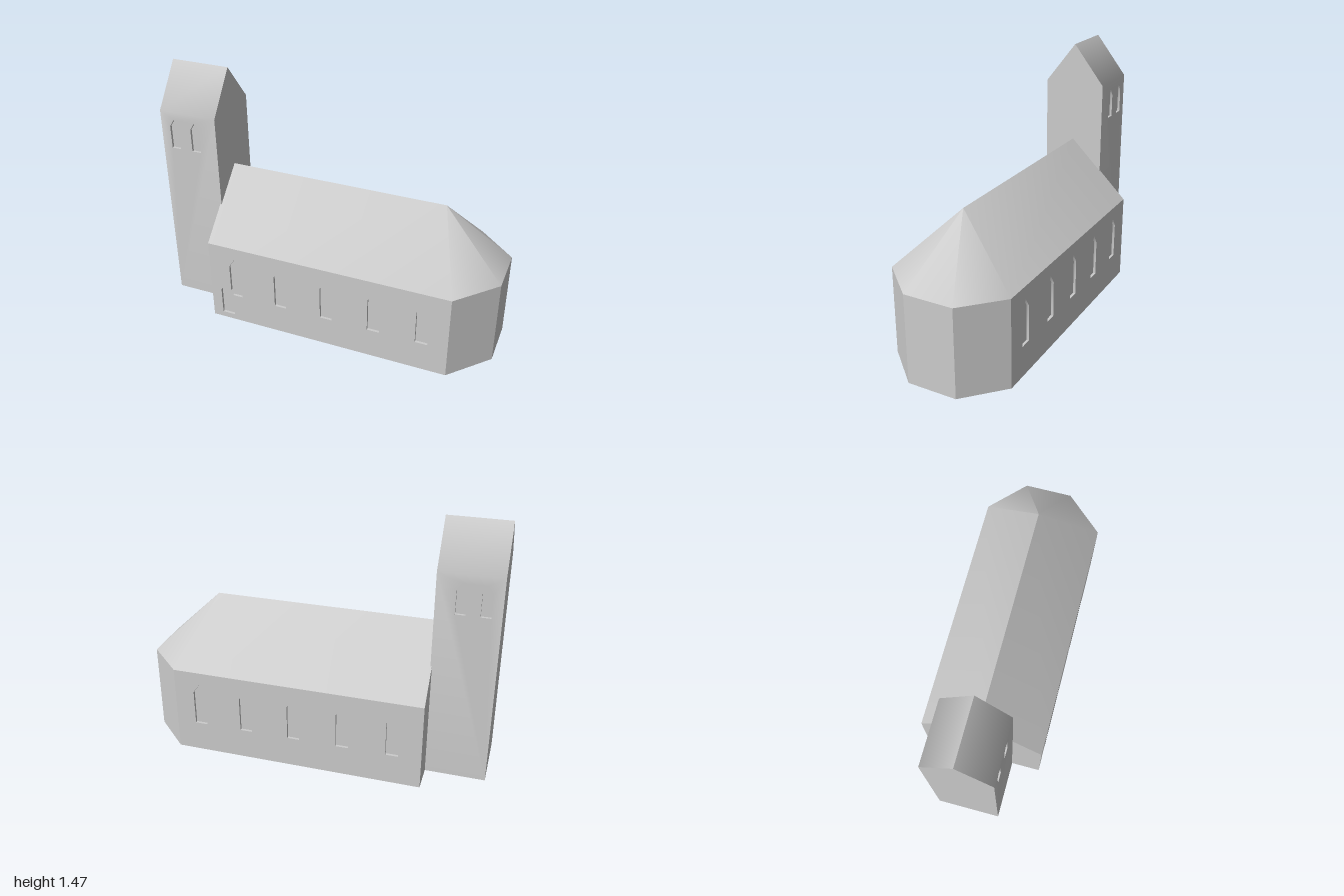
import * as THREE from 'three';
import { mergeGeometries, toCreasedNormals } from 'three/addons/utils/BufferGeometryUtils.js';

const RECESS = 0.015;
const CREASE = THREE.MathUtils.degToRad(41);

// Flat convex polygon, wound so that it faces away from the given inner point
function face(points, inner) {
  const p = points.map((c) => new THREE.Vector3(...c));
  const n = p[1].clone().sub(p[0]).cross(p[2].clone().sub(p[0]));
  if (n.dot(p[0].clone().sub(new THREE.Vector3(...inner))) < 0) p.reverse();
  const tris = [];
  for (let i = 1; i < p.length - 1; i++) tris.push(p[0], p[i], p[i + 1]);
  return new THREE.BufferGeometry().setFromPoints(tris);
}

// Pointed opening, counter-clockwise
const lancet = (x, w, y0, shoulder, tip) => [
  [x - w / 2, y0], [x + w / 2, y0], [x + w / 2, shoulder], [x, tip], [x - w / 2, shoulder],
];

const vecs = (pts) => pts.map(([x, y]) => new THREE.Vector2(x, y));

// Rectangular wall with recessed openings, at z facing +z (side 1) or -z (side -1)
function wall(x0, x1, height, z, side, openings) {
  const outline = new THREE.Shape(vecs([[x0, 0], [x1, 0], [x1, height], [x0, height]]));
  outline.holes = openings.map((o) => new THREE.Path(vecs(o)));
  const parts = [new THREE.ShapeGeometry(outline).toNonIndexed()];
  for (const o of openings) {
    // sunken pane and its reveals
    parts.push(new THREE.ShapeGeometry(new THREE.Shape(vecs(o))).toNonIndexed().translate(0, 0, -RECESS));
    const mid = [o.reduce((s, p) => s + p[0], 0) / o.length, 0, 0];
    o.forEach(([ax, ay], i) => {
      const [bx, by] = o[(i + 1) % o.length];
      const q = [[ax, ay, 0], [bx, by, 0], [bx, by, -RECESS], [ax, ay, -RECESS]];
      const v = [0, 1, 2, 0, 2, 3].map((k) => new THREE.Vector3(...q[k]));
      parts.push(new THREE.BufferGeometry().setFromPoints(v));
    });
  }
  const geo = mergePositions(parts);
  if (side < 0) {
    // mirror, then restore the winding
    const a = geo.attributes.position;
    const v = [];
    for (let i = 0; i < a.count; i += 3) {
      for (const k of [0, 2, 1]) v.push(new THREE.Vector3(a.getX(i + k), a.getY(i + k), -a.getZ(i + k)));
    }
    return new THREE.BufferGeometry().setFromPoints(v).translate(0, 0, z);
  }
  return geo.translate(0, 0, z);
}

function mergePositions(parts) {
  return mergeGeometries(parts.map((g) => {
    const bare = new THREE.BufferGeometry();
    bare.setAttribute('position', g.attributes.position);
    return bare;
  }));
}

export function createModel() {
  const group = new THREE.Group();
  const stone = new THREE.MeshStandardMaterial({ color: 0xcccccc });
  stone.name = 'pale grey stone';
  const add = (name, parts) => {
    const mesh = new THREE.Mesh(toCreasedNormals(mergePositions(parts), CREASE), stone);
    mesh.name = name;
    group.add(mesh);
  };

  // Nave plan: long walls, then a three-sided apse at +x
  const W = -0.66, E = 0.79, Z = 0.357, EAVE = 0.515, RIDGE = 0.865;
  const plan = [[W, Z], [E, Z], [1, 0.13], [1, -0.157], [E, -Z], [W, -Z]];
  const inner = [0.2, 0.4, 0];
  const at = (i, y) => [plan[i][0], y, plan[i][1]];

  const windowXs = [-0.495, -0.21, 0.075, 0.36, 0.64];
  const naveWindows = windowXs.map((x) => lancet(x, 0.072, 0.18, 0.385, 0.44));
  // door that runs into the first front window
  const doorAndWindow = [
    [-0.598, 0.035], [-0.52, 0.035], [-0.52, 0.18], [-0.459, 0.18], [-0.459, 0.385],
    [-0.495, 0.44], [-0.531, 0.385], [-0.531, 0.213], [-0.559, 0.248], [-0.598, 0.2],
  ];
  const naveParts = [
    wall(W, E, EAVE, Z, 1, [doorAndWindow, ...naveWindows.slice(1)]),
    wall(W, E, EAVE, -Z, -1, naveWindows),
    face(plan.map((_, i) => at(i, 0)), inner),
    face([at(5, 0), at(0, 0), at(0, EAVE), [W, RIDGE, 0], at(5, EAVE)], inner),
  ];
  for (let i = 1; i < 4; i++) {
    naveParts.push(face([at(i, 0), at(i + 1, 0), at(i + 1, EAVE), at(i, EAVE)], inner));
  }
  add('naveWalls', naveParts);

  // Nave roof: two slopes and a hipped end over the apse
  const westTop = [W, RIDGE, 0], eastTop = [0.64, RIDGE, 0];
  const roofParts = [
    face([at(0, EAVE), at(1, EAVE), eastTop, westTop], inner),
    face([at(5, EAVE), at(4, EAVE), eastTop, westTop], inner),
  ];
  for (let i = 1; i < 4; i++) roofParts.push(face([at(i, EAVE), at(i + 1, EAVE), eastTop], inner));
  add('naveRoof', roofParts);

  // Tower with a saddle roof and paired belfry openings
  const x0 = -1, x1 = -0.652, zf = 0.185, zb = -0.19, top = 1.225, peak = 1.465;
  const core = [-0.83, 0.7, 0];
  const belfry = [-0.917, -0.786].map((x) => lancet(x, 0.055, 1.0, 1.135, 1.178));
  const towerParts = [
    wall(x0, x1, top, zf, 1, belfry),
    wall(x0, x1, top, zb, -1, belfry),
    face([[x0, 0, zf], [x1, 0, zf], [x1, 0, zb], [x0, 0, zb]], core),
  ];
  for (const x of [x0, x1]) {
    towerParts.push(face([[x, 0, zf], [x, top, zf], [x, peak, 0], [x, top, zb], [x, 0, zb]], core));
  }
  for (const z of [zf, zb]) {
    towerParts.push(face([[x0, top, z], [x1, top, z], [x1, peak, 0], [x0, peak, 0]], core));
  }
  add('tower', towerParts);

  return group;
}
